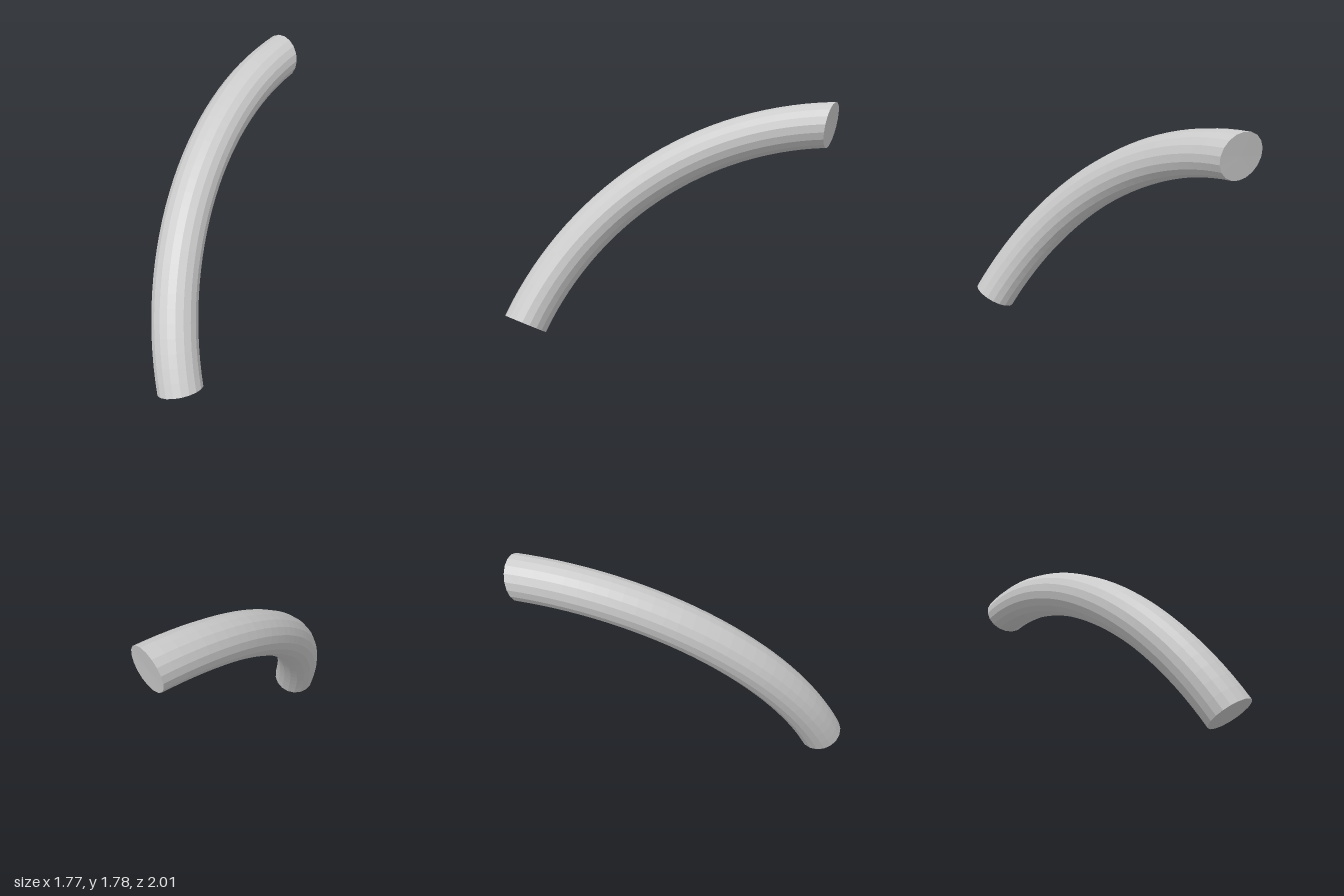
import * as THREE from 'three';

const TUBE_RADIUS = 0.168;
const SIDES = 18;
const SEGMENTS = 30;
const SAGITTA = 0.435; // height of the bend above the line joining the ends
const LOWER_SKEW = -0.05; // slant of each end cut
const UPPER_SKEW = 0.25;

export function createModel() {
  const group = new THREE.Group();
  group.name = 'bentTube';

  // The tube follows a circular arc through its two ends
  const start = new THREE.Vector3(-0.722, 0.083, 0.853);
  const end = new THREE.Vector3(0.803, 1.608, -0.853);
  const half = start.distanceTo(end) / 2;
  const bendRadius = (half * half + SAGITTA * SAGITTA) / (2 * SAGITTA);
  const arc = 4 * Math.atan(SAGITTA / half);

  // Frame at the bend centre: x points to the middle of the arc, y along the chord
  const outward = new THREE.Vector3(-1, 1, 0).normalize();
  const along = end.clone().sub(start).normalize();
  const normal = new THREE.Vector3().crossVectors(outward, along);
  const centre = start.clone().lerp(end, 0.5).addScaledVector(outward, SAGITTA - bendRadius);
  const frame = new THREE.Matrix4().makeBasis(outward, along, normal).setPosition(centre);

  // Capped straight cylinder, bent round the arc with slanted ends
  const geometry = new THREE.CylinderGeometry(TUBE_RADIUS, TUBE_RADIUS, 1, SIDES, SEGMENTS);
  const position = geometry.attributes.position;
  for (let i = 0; i < position.count; i++) {
    const x = position.getX(i);
    const y = position.getY(i);
    const skew = THREE.MathUtils.lerp(LOWER_SKEW, UPPER_SKEW, y + 0.5);
    const angle = arc * y + (skew * x) / bendRadius;
    const radius = bendRadius + x;
    position.setXY(i, radius * Math.cos(angle), radius * Math.sin(angle));
  }
  geometry.applyMatrix4(frame);
  geometry.computeVertexNormals();

  const material = new THREE.MeshStandardMaterial({ color: 0xcccccc, flatShading: true });
  const tube = new THREE.Mesh(geometry, material);
  tube.name = 'tube';
  group.add(tube);
  return group;
}
